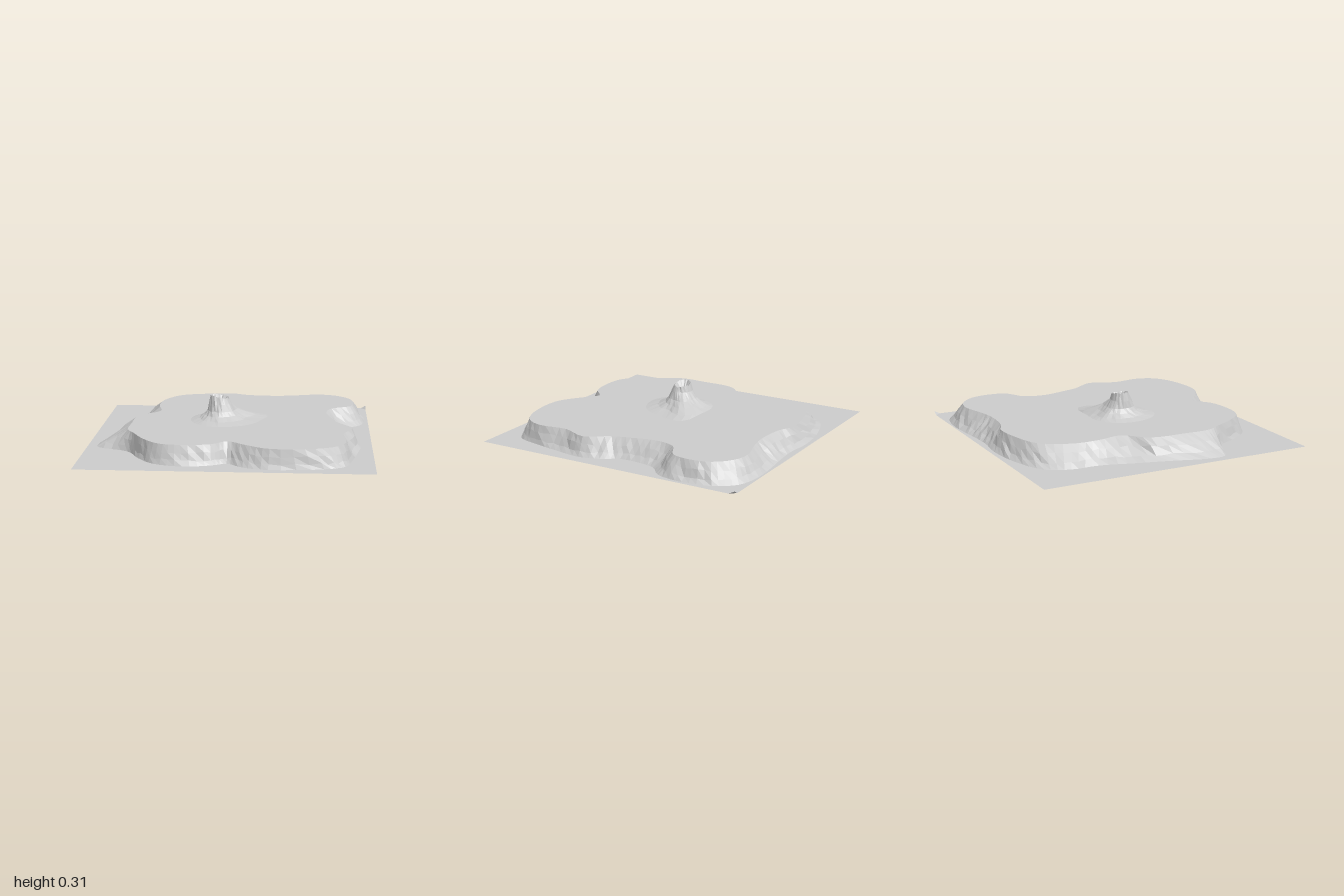
import * as THREE from 'three';

const TOP = 0.13; // plateau height
const PER = 4; // outline segments per control point

// Plateau outline, clockwise from the back left: rim x, z, then foot x, z
const OUTLINE = [
  [-0.57, -0.60, -0.71, -0.67], [-0.45, -0.80, -0.63, -0.83], [-0.25, -0.87, -0.40, -0.93],
  [-0.05, -0.89, -0.12, -0.97], [0.07, -0.84, 0.10, -0.95], [0.28, -0.82, 0.28, -0.96],
  [0.42, -0.84, 0.42, -0.975], [0.62, -0.89, 0.64, -0.985], [0.75, -0.86, 0.83, -0.94],
  [0.86, -0.75, 0.94, -0.80], [0.89, -0.60, 0.975, -0.60], [0.86, -0.47, 0.94, -0.40],
  [0.72, -0.38, 0.84, -0.30], [0.68, -0.23, 0.81, -0.18], [0.72, -0.05, 0.81, -0.02],
  [0.76, 0.08, 0.88, 0.10], [0.86, 0.25, 0.92, 0.25], [0.79, 0.44, 0.89, 0.46],
  [0.81, 0.65, 0.85, 0.66], [0.75, 0.78, 0.80, 0.82], [0.60, 0.86, 0.66, 0.89],
  [0.30, 0.88, 0.29, 0.93], [0.13, 0.78, 0.12, 0.88], [0.01, 0.69, 0.01, 0.79],
  [-0.10, 0.78, -0.09, 0.84], [-0.30, 0.81, -0.28, 0.88], [-0.45, 0.78, -0.48, 0.82],
  [-0.57, 0.65, -0.60, 0.68], [-0.65, 0.50, -0.70, 0.50], [-0.71, 0.38, -0.92, 0.39],
  [-0.71, 0.20, -0.93, 0.27], [-0.69, -0.06, -0.85, 0.00], [-0.55, -0.22, -0.79, -0.22],
  [-0.58, -0.40, -0.72, -0.47],
];

// Peak levels from crater floor to base: y, left, right, back, front, ridge reach
const PEAK = [
  [0.235, -0.11, -0.07, 0.01, 0.03, 0],
  [0.300, -0.155, -0.025, -0.035, 0.075, 0],
  [0.250, -0.17, -0.01, -0.05, 0.10, 0],
  [0.200, -0.18, 0.02, -0.085, 0.12, 0.03],
  [0.170, -0.20, 0.05, -0.12, 0.145, 0.08],
  [0.145, -0.24, 0.09, -0.16, 0.20, 0.11],
  [TOP, -0.30, 0.20, -0.20, 0.28, 0.10],
];

const material = new THREE.MeshStandardMaterial({ color: 0xcccccc, flatShading: true, side: THREE.DoubleSide });

function makeMesh(name, geometry) {
  const mesh = new THREE.Mesh(geometry, material);
  mesh.name = name;
  return mesh;
}

// Small repeatable roughness between -1 and 1
function rough(i, j) {
  const s = Math.sin(i * 12.99 + j * 78.23) * 43758.55;
  return (s - Math.floor(s)) * 2 - 1;
}

// Closed band through rings, listed from the inside out
function loft(rings) {
  const n = rings[0].length;
  const index = [];
  for (let r = 0; r < rings.length - 1; r++) {
    for (let i = 0; i < n; i++) {
      const a = r * n + i, c = r * n + ((i + 1) % n);
      index.push(a, c, a + n, a + n, c, c + n);
    }
  }
  const geometry = new THREE.BufferGeometry().setFromPoints(rings.flat());
  geometry.setIndex(index);
  geometry.computeVertexNormals();
  return geometry;
}

// Level sheet between an outer loop and a hole
function sheet(outer, hole, y) {
  const flat = (loop) => loop.map((p) => new THREE.Vector2(p.x, -p.z));
  const shape = new THREE.Shape(flat(outer));
  shape.holes.push(new THREE.Path(flat(hole)));
  return new THREE.ShapeGeometry(shape).rotateX(-Math.PI / 2).translate(0, y, 0);
}

function outlineRing(column, y) {
  const curve = new THREE.CatmullRomCurve3(
    OUTLINE.map((p) => new THREE.Vector3(p[column], y, p[column + 1])), true);
  return curve.getPoints(OUTLINE.length * PER).slice(0, -1);
}

function peakRing([y, left, right, back, front, ridge], level) {
  const cx = -0.09, cz = 0.02, n = 32;
  const ridgeAngle = Math.atan2(-0.18, 0.28);
  return Array.from({ length: n }, (_, i) => {
    const a = (i / n) * Math.PI * 2;
    const c = Math.cos(a), s = Math.sin(a);
    const reach = ridge * Math.max(0, Math.cos(a - ridgeAngle)) ** 12;
    const rx = c > 0 ? right - cx : cx - left;
    const rz = s > 0 ? front - cz : cz - back;
    // The lip is notched and lower towards the right
    const lift = level === 1 ? -0.012 * c + 0.006 * rough(i, 3) : 0;
    const k = 1 + (level < 6 ? 0.05 * rough(i, level) : 0);
    return new THREE.Vector3(cx + c * (rx * k + reach), y + lift, cz + s * (rz * k) + s * reach);
  });
}

export function createModel() {
  const group = new THREE.Group();
  group.name = 'terrain';

  // Cliff: steep near the rim, flaring out at the foot
  const rim = outlineRing(0, TOP);
  const foot = outlineRing(2, 0);
  const between = (t, y, j) => rim.map((p, i) => {
    const q = p.clone().lerp(foot[i], t + 0.07 * rough(i, j));
    q.y = y + 0.008 * rough(i, j + 5);
    return q;
  });
  group.add(makeMesh('cliff', loft([rim, between(0.36, 0.08, 1), between(0.68, 0.032, 2), foot])));

  // Peak with its crater and side ridge
  const peak = PEAK.map(peakRing);
  group.add(makeMesh('peak', loft(peak)));
  const floor = new THREE.Shape(peak[0].map((p) => new THREE.Vector2(p.x, -p.z)));
  group.add(makeMesh('craterFloor',
    new THREE.ShapeGeometry(floor).rotateX(-Math.PI / 2).translate(0, PEAK[0][0], 0)));

  // Plateau top around the peak
  group.add(makeMesh('plateau', sheet(rim, peak[peak.length - 1], TOP)));

  // Square ground around the foot, with its back left corner turned up
  const v = (x, y, z) => new THREE.Vector3(x, y, z);
  const square = [v(-1, 0, -1), v(0.965, 0, -1), v(1, 0, -0.955), v(1, 0, 1), v(-1, 0, 1)];
  group.add(makeMesh('ground', sheet(square, foot, 0)));
  const corner = new THREE.BufferGeometry().setFromPoints([square[1], v(1, 0.022, -1), square[2]]);
  corner.setIndex([0, 2, 1]);
  corner.computeVertexNormals();
  group.add(makeMesh('raisedCorner', corner));

  return group;
}
